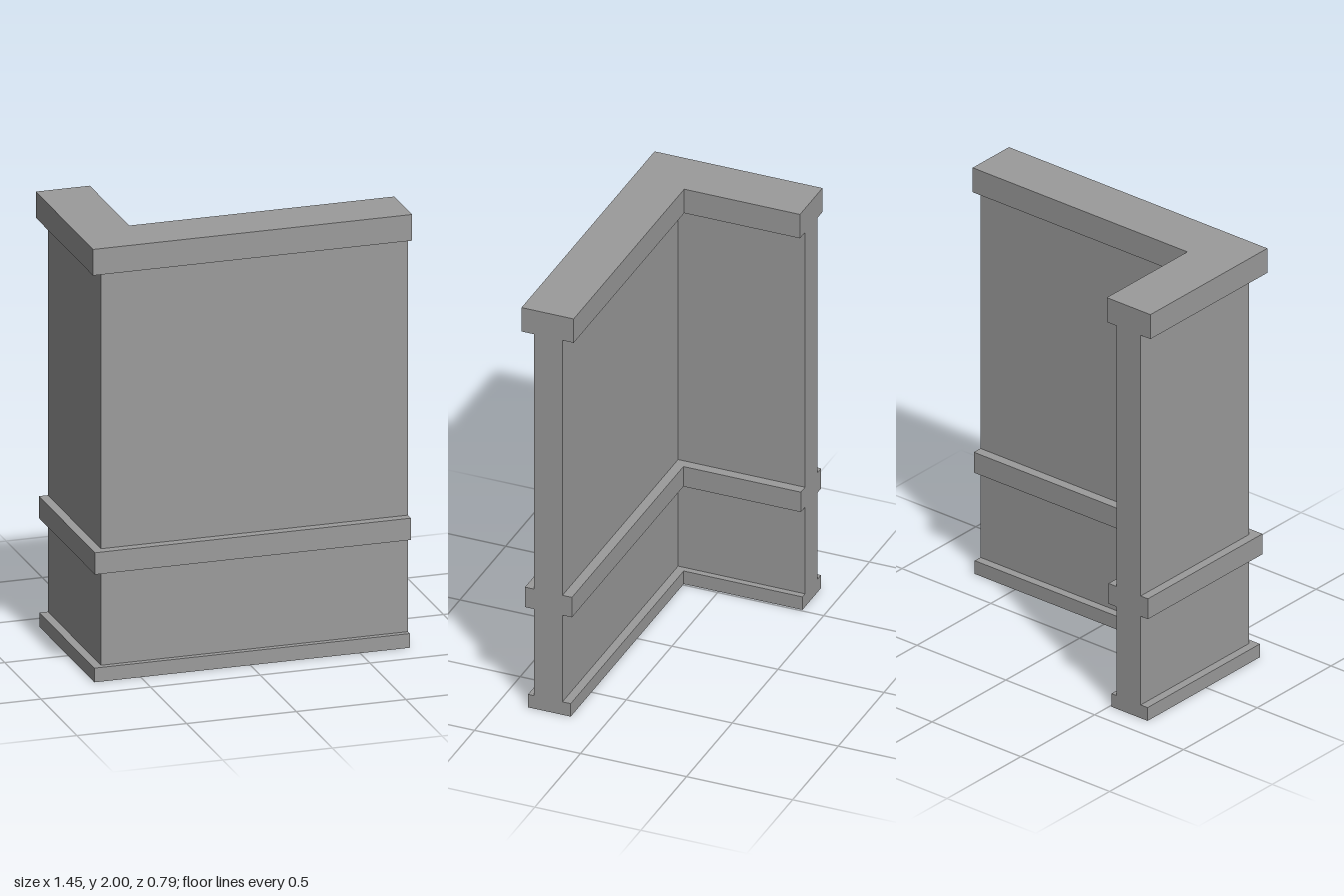
import * as THREE from 'three';

const END_X = 0.727; // cut end of the long run
const END_Z = -0.396; // cut end of the short return

// L-shaped layer: outer corner (xo, zo), inner corner (xi, zi), from y0 to y1
function layerGeometry([xo, zo, xi, zi], y0, y1) {
  const outline = [[xo, zo], [END_X, zo], [END_X, zi], [xi, zi], [xi, END_Z], [xo, END_Z]];
  const shape = new THREE.Shape(outline.map(([x, z]) => new THREE.Vector2(x, -z)));
  return new THREE.ExtrudeGeometry(shape, { depth: y1 - y0, bevelEnabled: false })
    .rotateX(-Math.PI / 2)
    .translate(0, y0, 0);
}

// Drops the triangles lying on the ground, leaving the underside open
function openBottom(geometry) {
  const p = geometry.attributes.position;
  const kept = [];
  for (let i = 0; i < p.count; i += 3) {
    const top = Math.max(p.getY(i), p.getY(i + 1), p.getY(i + 2));
    if (top > 1e-4) kept.push(...p.array.slice(i * 3, i * 3 + 9));
  }
  const open = new THREE.BufferGeometry();
  open.setAttribute('position', new THREE.Float32BufferAttribute(kept, 3));
  open.computeVertexNormals();
  return open;
}

export function createModel() {
  const group = new THREE.Group();
  const material = new THREE.MeshStandardMaterial({
    color: 0x9b9b9b, flatShading: true, side: THREE.DoubleSide,
  });
  const add = (name, geometry) => {
    const mesh = new THREE.Mesh(geometry, material);
    mesh.name = name;
    group.add(mesh);
  };

  const wall = [-0.673, 0.338, -0.538, 0.203];
  const skirting = [-0.712, 0.365, -0.509, 0.164];
  const rail = [-0.714, 0.38, -0.492, 0.158];
  const cap = [-0.728, 0.396, -0.482, 0.15];

  // Hollow skirting, then stacked wall panels, rail and cap
  add('skirting', openBottom(layerGeometry(skirting, 0, 0.065)));
  add('lowerWall', layerGeometry(wall, 0.065, 0.5));
  add('chairRail', layerGeometry(rail, 0.5, 0.6));
  add('upperWall', layerGeometry(wall, 0.6, 1.88));
  add('topCap', layerGeometry(cap, 1.88, 2));
  return group;
}
